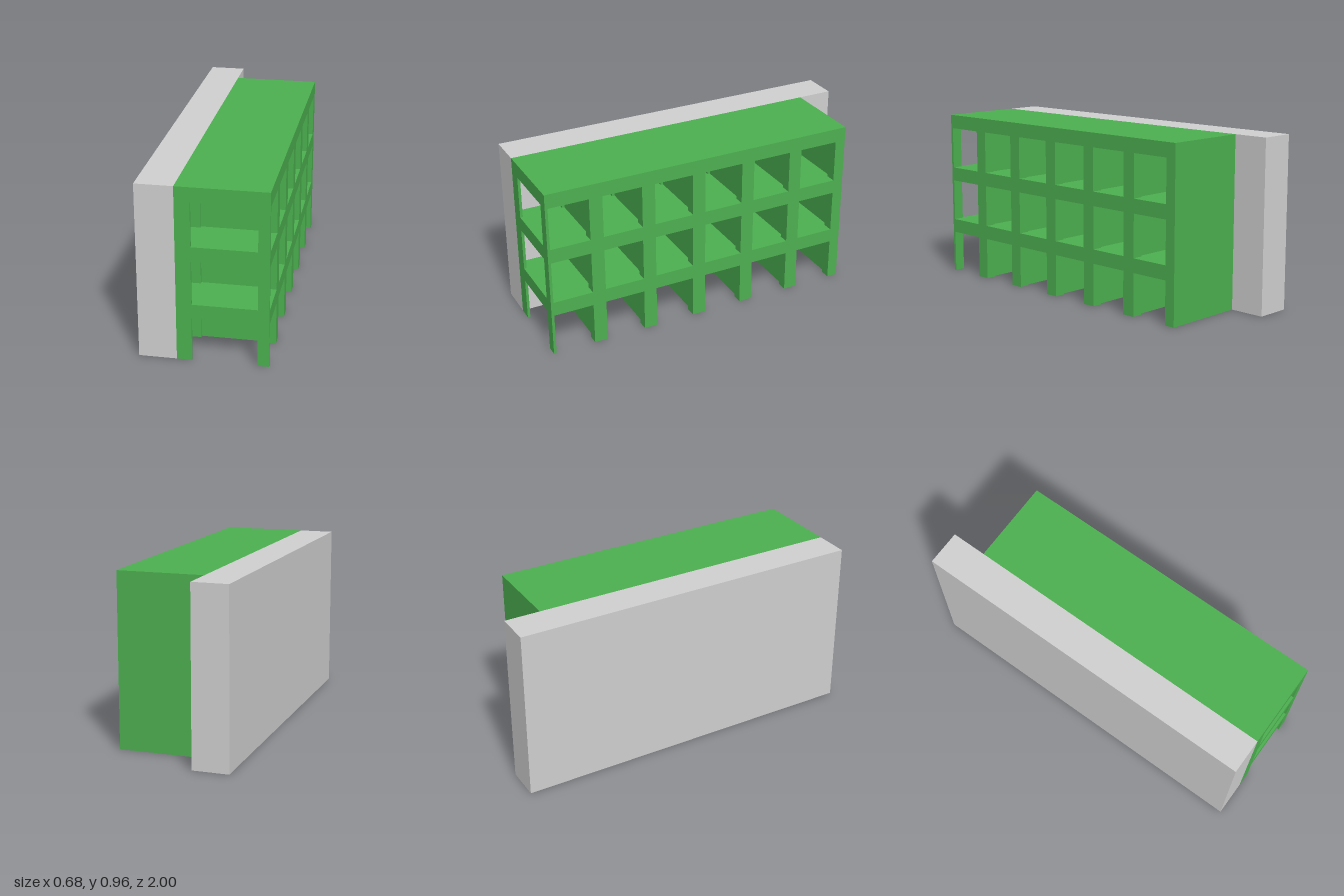
import * as THREE from 'three';

const BACK = -0.8, FRONT = 1, TOP = 0.96, STOREY = 0.32, BEAM = 0.08, SLAB = 0.04;
const X_IN = -0.06, X_OUT = 0.28; // clear span between the two lattices
const POST = 0.075, PANEL = 0.045, PITCH = 0.3, FIRST = 1.0225;

export function createModel() {
  const group = new THREE.Group();
  const green = new THREE.MeshStandardMaterial({ color: 0x4caf50 });
  green.name = 'green';
  const grey = new THREE.MeshStandardMaterial({ color: 0xcfcfcf });
  grey.name = 'grey';

  const box = (name, mat, x0, x1, y0, y1, z0, z1) => {
    const mesh = new THREE.Mesh(new THREE.BoxGeometry(x1 - x0, y1 - y0, z1 - z0), mat);
    mesh.position.set((x0 + x1) / 2, (y0 + y1) / 2, (z0 + z1) / 2);
    mesh.name = name;
    group.add(mesh);
  };

  // Long wall behind the frame
  box('backWall', grey, -0.34, -0.14, 0, TOP, -1, 1);

  // Lattice drawn in the z-y plane: ground bays are notches, upper bays are holes
  const bays = [];
  for (let i = 0; i < 6; i++) {
    const far = FIRST - PITCH * (i + 1) + POST / 2;
    bays.unshift([far, far + PITCH - POST]);
  }
  const outline = [[BACK, 0]];
  for (const [a, b] of bays) {
    outline.push([a, 0], [a, STOREY - BEAM], [b, STOREY - BEAM], [b, 0]);
  }
  outline.push([FRONT, 0], [FRONT, TOP], [BACK, TOP]);
  const toPoints = (list) => list.map(([u, v]) => new THREE.Vector2(u, v));
  const lattice = new THREE.Shape(toPoints(outline));
  for (const [a, b] of bays) {
    for (let s = 1; s < 3; s++) {
      const y0 = s * STOREY, y1 = y0 + STOREY - BEAM;
      lattice.holes.push(new THREE.Path(toPoints([[a, y0], [a, y1], [b, y1], [b, y0]])));
    }
  }
  const addLattice = (name, x0, x1) => {
    const geo = new THREE.ExtrudeGeometry(lattice, { depth: x1 - x0, bevelEnabled: false });
    geo.rotateY(-Math.PI / 2);
    const mesh = new THREE.Mesh(geo, green);
    mesh.position.x = x1;
    mesh.name = name;
    group.add(mesh);
  };
  addLattice('outerLattice', X_OUT, 0.34);
  addLattice('innerLattice', -0.14, X_IN);

  // Floor slabs, cross beams and dividing panels between the lattices
  for (let s = 0; s < 3; s++) {
    const y0 = s * STOREY, y1 = y0 + STOREY;
    box('floorSlab', green, X_IN, X_OUT, y1 - SLAB, y1, BACK, FRONT);
    for (let i = 0; i < 7; i++) {
      const z = FIRST - PITCH * i;
      box('crossBeam', green, X_IN, X_OUT, y1 - BEAM, y1 - SLAB,
        Math.max(BACK, z - POST / 2), Math.min(FRONT, z + POST / 2));
      if (i > 0) { // the front bay stays open
        box('dividingPanel', green, X_IN, X_OUT, y0, y1 - BEAM, z - PANEL / 2, z + PANEL / 2);
      }
    }
  }
  return group;
}
